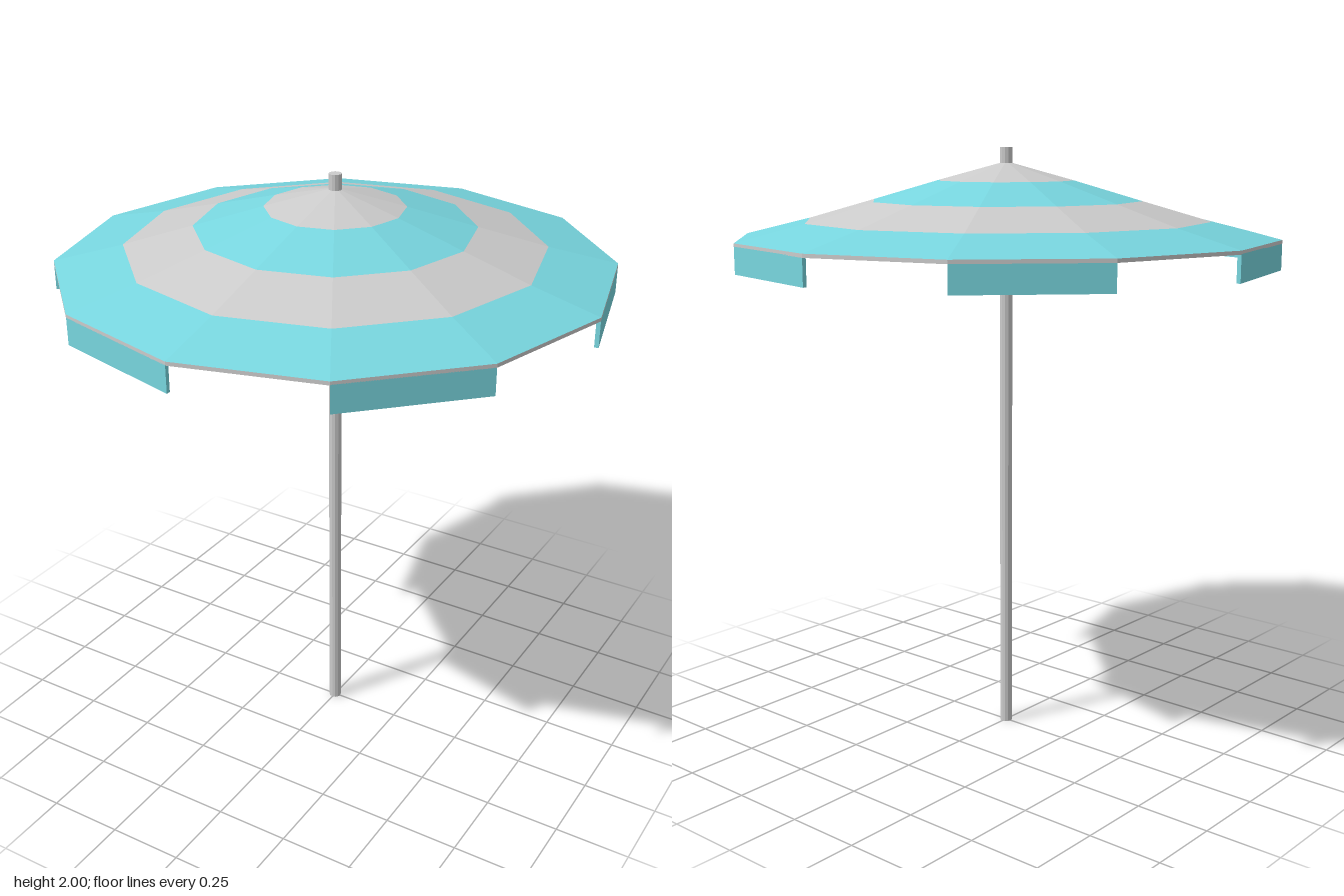
import * as THREE from 'three';

const SIDES = 12;
const STEP = (Math.PI * 2) / SIDES;
const THICKNESS = 0.012;

// canopy slope as [radius, height], from the apex out to the rim
const SLOPE = [[0, 1.955], [0.225, 1.894], [0.45, 1.829], [0.675, 1.765], [0.9, 1.71]];

const grey = new THREE.MeshStandardMaterial({ color: 0xcccccc, flatShading: true });
const teal = new THREE.MeshStandardMaterial({ color: 0x78d6df, flatShading: true });

function addMesh(parent, name, geometry, material) {
  const mesh = new THREE.Mesh(geometry, material);
  mesh.name = name;
  parent.add(mesh);
  return mesh;
}

// faceted ring swept between two profile points
function ring(a, b) {
  return new THREE.LatheGeometry([new THREE.Vector2(...a), new THREE.Vector2(...b)], SIDES);
}

// thin hanging panel along one side of the canopy
function panelGeometry(bottom, top, outer, inner) {
  const corner = (r, angle) => new THREE.Vector2(r * Math.sin(angle), -r * Math.cos(angle));
  const shape = new THREE.Shape([
    corner(outer, -STEP), corner(outer, 0), corner(inner, 0), corner(inner, -STEP),
  ]);
  const geometry = new THREE.ExtrudeGeometry(shape, { depth: top - bottom, bevelEnabled: false });
  return geometry.rotateX(-Math.PI / 2).translate(0, bottom, 0);
}

export function createModel() {
  const model = new THREE.Group();
  model.name = 'parasol';

  // pole, reaching through the canopy
  addMesh(model, 'pole', new THREE.CylinderGeometry(0.021, 0.021, 2, 12).translate(0, 1, 0), grey);

  // striped canopy: top and underside of each band
  const canopy = new THREE.Group();
  canopy.name = 'canopy';
  model.add(canopy);
  const lower = ([r, y]) => [r, y - THICKNESS];
  for (let i = 0; i < SLOPE.length - 1; i++) {
    const material = i % 2 ? teal : grey;
    addMesh(canopy, `bandTop${i + 1}`, ring(SLOPE[i + 1], SLOPE[i]), material);
    addMesh(canopy, `bandUnderside${i + 1}`, ring(lower(SLOPE[i]), lower(SLOPE[i + 1])), material);
  }

  // grey rim closing the canopy edge
  const edge = SLOPE[SLOPE.length - 1];
  addMesh(canopy, 'rim', ring(lower(edge), edge), grey);

  // valance panels on every other side
  const valance = new THREE.Group();
  valance.name = 'valance';
  model.add(valance);
  const panel = panelGeometry(1.613, 1.7, 0.9, 0.886);
  for (let i = 0; i < SIDES; i += 2) {
    addMesh(valance, `valancePanel${i / 2 + 1}`, panel, teal).rotation.y = i * STEP;
  }

  return model;
}
